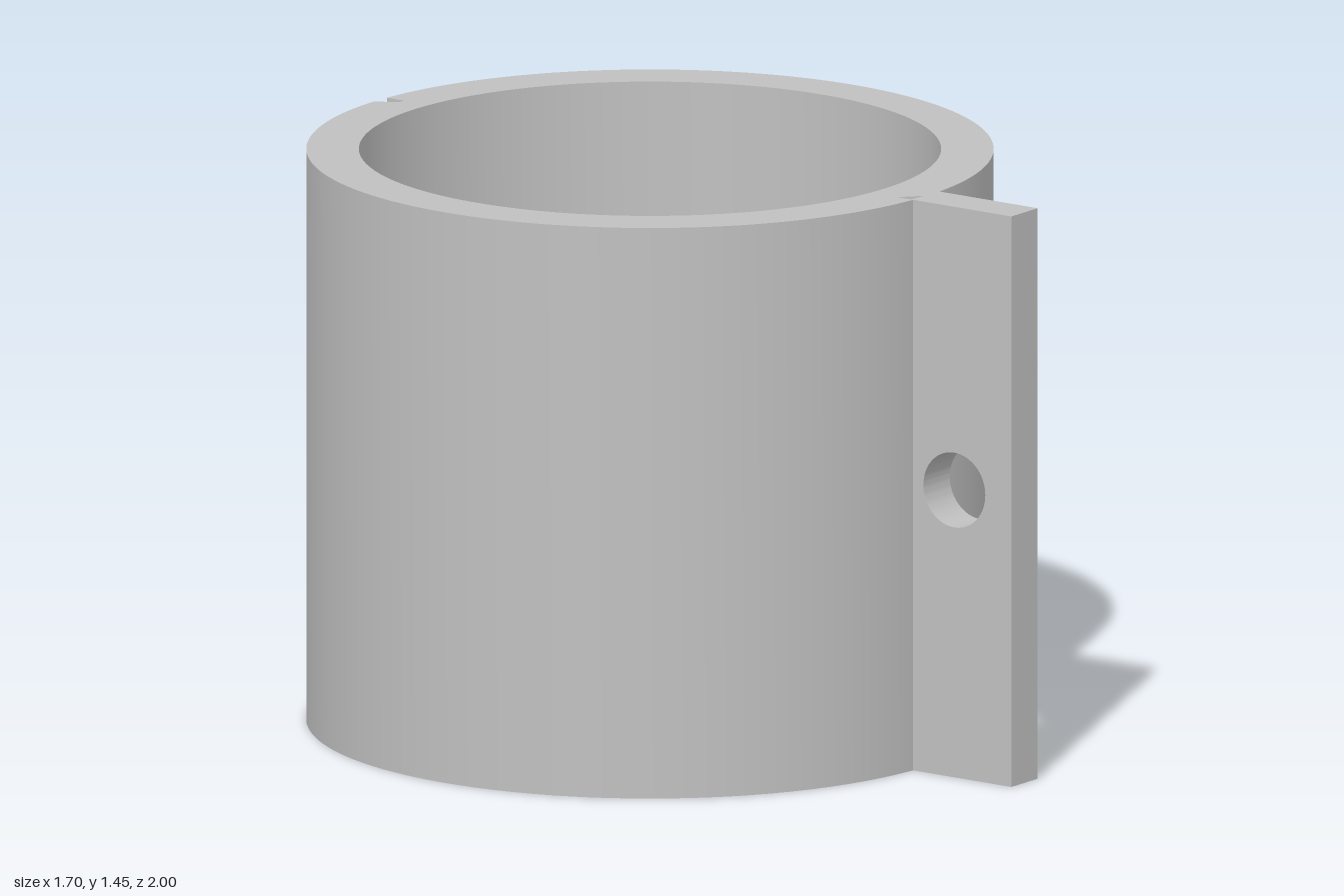
import * as THREE from 'three';
import { toCreasedNormals } from 'three/addons/utils/BufferGeometryUtils.js';

const HEIGHT = 1.45, OUTER = 0.85, INNER = 0.72, CENTRE_Z = -0.15, HALF_TAB = 0.055;

export function createModel() {
  const group = new THREE.Group();
  const grey = new THREE.MeshStandardMaterial({ color: 0xc0c0c0 });
  grey.name = 'plain grey';

  const add = (name, geometry) => {
    const mesh = new THREE.Mesh(geometry, grey);
    mesh.name = name;
    group.add(mesh);
  };
  const points = list => list.map(([x, y]) => new THREE.Vector2(x, y));

  // Sleeve outline with a notch at the back
  const outline = new THREE.Shape();
  const notchAngle = Math.acos(HALF_TAB / OUTER);
  outline.absarc(0, 0, OUTER, Math.PI / 2, notchAngle + Math.PI * 2, false);
  outline.lineTo(HALF_TAB, 0.795);
  outline.lineTo(0.04, 0.795);
  outline.closePath();

  // Bore and the small triangular pocket beside the tab
  const bore = new THREE.Path();
  bore.absarc(0, 0, INNER, 0, Math.PI * 2, true);
  const pocket = points([[-0.055, -0.8], [-0.006, -0.845], [-0.055, -0.842]]);
  outline.holes.push(bore, new THREE.Path(pocket));

  const sleeve = new THREE.ExtrudeGeometry(outline, {
    depth: HEIGHT, bevelEnabled: false, curveSegments: 96,
  });
  // The back notch fades out towards the lower edge
  const pos = sleeve.attributes.position;
  for (let i = 0; i < pos.count; i++) {
    const x = pos.getX(i), y = pos.getY(i), r = Math.hypot(x, y);
    if (y > 0 && r > 0.76 && r < 0.83 && pos.getZ(i) < 0.01) {
      const k = (OUTER - 0.001) / r;
      pos.setXY(i, x * k, y * k);
    }
  }
  sleeve.rotateX(-Math.PI / 2).translate(0, 0, CENTRE_Z);
  add('sleeve', toCreasedNormals(sleeve, 0.4));

  // Floor that closes the pocket halfway down
  const floor = new THREE.ExtrudeGeometry(new THREE.Shape(pocket), { depth: 0.02, bevelEnabled: false });
  floor.rotateX(-Math.PI / 2).translate(0, HEIGHT / 2 - 0.01, CENTRE_Z);
  add('pocketFloor', floor);

  // Upright tab at the front with a round cross hole
  const side = new THREE.Shape(points([[0.697, 0], [1, 0], [1, HEIGHT], [0.697, HEIGHT]]));
  const hole = new THREE.Path();
  hole.absarc(0.825, 0.73, 0.095, 0, Math.PI * 2, true);
  side.holes.push(hole);
  const tab = new THREE.ExtrudeGeometry(side, {
    depth: HALF_TAB * 2, bevelEnabled: false, curveSegments: 48,
  });
  tab.rotateY(-Math.PI / 2).translate(HALF_TAB, 0, 0);
  add('frontTab', toCreasedNormals(tab, 0.4));

  return group;
}
